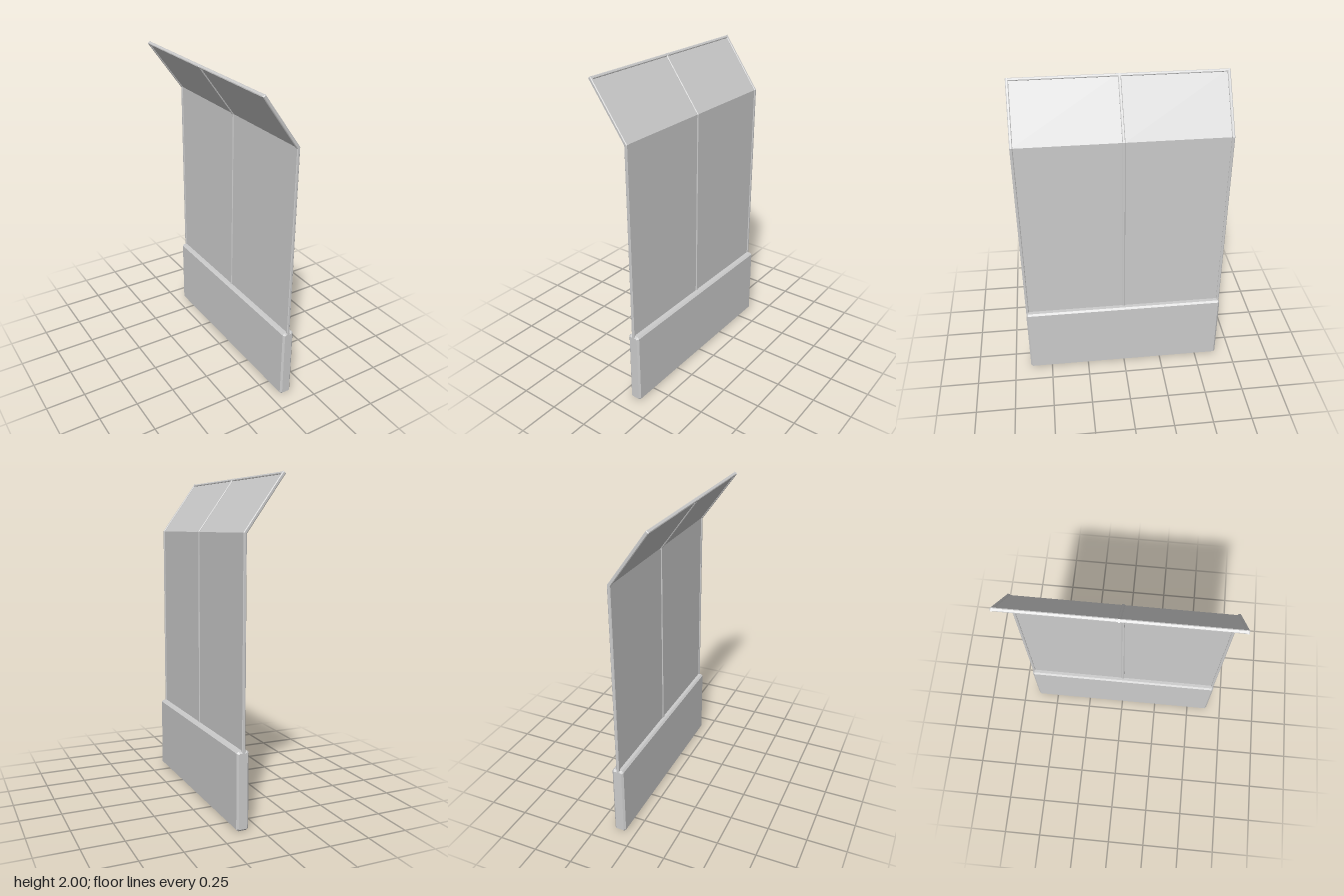
import * as THREE from 'three';

const material = new THREE.MeshStandardMaterial({ color: 0xcccccc, flatShading: true });
const BEND = [0.1, 1.672], TIP = [-0.132, 1.994], HALF_DEPTH = 0.645;

// Outline of a bent strip in the xy plane, mitred at the bend
function bentOutline(half, bottom) {
  const dx = TIP[0] - BEND[0], dy = TIP[1] - BEND[1], len = Math.hypot(dx, dy);
  const nx = dy / len, ny = -dx / len;
  const miter = ny / (1 + nx);
  const side = (h) => [
    new THREE.Vector2(BEND[0] + h, bottom),
    new THREE.Vector2(BEND[0] + h, BEND[1] + h * miter),
    new THREE.Vector2(TIP[0] + nx * h, TIP[1] + ny * h),
  ];
  return new THREE.Shape([...side(half), ...side(-half).reverse()]);
}

// Rectangle with cut corners
function cutRectangle(w, h, c) {
  const x = w / 2, y = h / 2;
  return new THREE.Shape([
    [x - c, -y], [x, -y + c], [x, y - c], [x - c, y],
    [-x + c, y], [-x, y - c], [-x, -y + c], [-x + c, -y],
  ].map(([a, b]) => new THREE.Vector2(a, b)));
}

// Extrude along z, centred, with chamfered ends
function extrude(shape, depth, bevel) {
  const geometry = new THREE.ExtrudeGeometry(shape, {
    depth: depth - 2 * bevel,
    bevelEnabled: bevel > 0,
    bevelThickness: bevel, bevelSize: bevel, bevelOffset: -bevel, bevelSegments: 1,
  });
  return geometry.translate(0, 0, -(depth - 2 * bevel) / 2);
}

export function createModel() {
  const group = new THREE.Group();
  const add = (name, geometry, x = 0, y = 0, z = 0) => {
    const mesh = new THREE.Mesh(geometry, material);
    mesh.name = name;
    mesh.position.set(x, y, z);
    group.add(mesh);
    return mesh;
  };

  // Solid chamfered base wall
  add('base', extrude(cutRectangle(0.075, 0.47, 0.011), 2 * HALF_DEPTH, 0.011), 0.1025, 0.235);

  // Bent posts at both ends and in the middle
  const post = extrude(bentOutline(0.01, 0.45), 0.018, 0.004);
  [['frontPost', HALF_DEPTH - 0.009], ['middlePost', 0], ['backPost', 0.009 - HALF_DEPTH]]
    .forEach(([name, z]) => add(name, post, 0, 0, z));

  // Two thin bent panels between the posts
  const panel = extrude(bentOutline(0.004, 0.45), HALF_DEPTH - 0.015, 0);
  add('frontPanel', panel, 0, 0, HALF_DEPTH / 2);
  add('backPanel', panel, 0, 0, -HALF_DEPTH / 2);

  // Rail along the upper edge, turned to the slope
  const slope = Math.atan2(TIP[0] - BEND[0], TIP[1] - BEND[1]);
  const rail = add('topRail', extrude(cutRectangle(0.02, 0.018, 0.004), 2 * HALF_DEPTH, 0.004),
    TIP[0] - Math.sin(slope) * 0.009, TIP[1] - Math.cos(slope) * 0.009);
  rail.rotation.z = -slope;

  return group;
}
